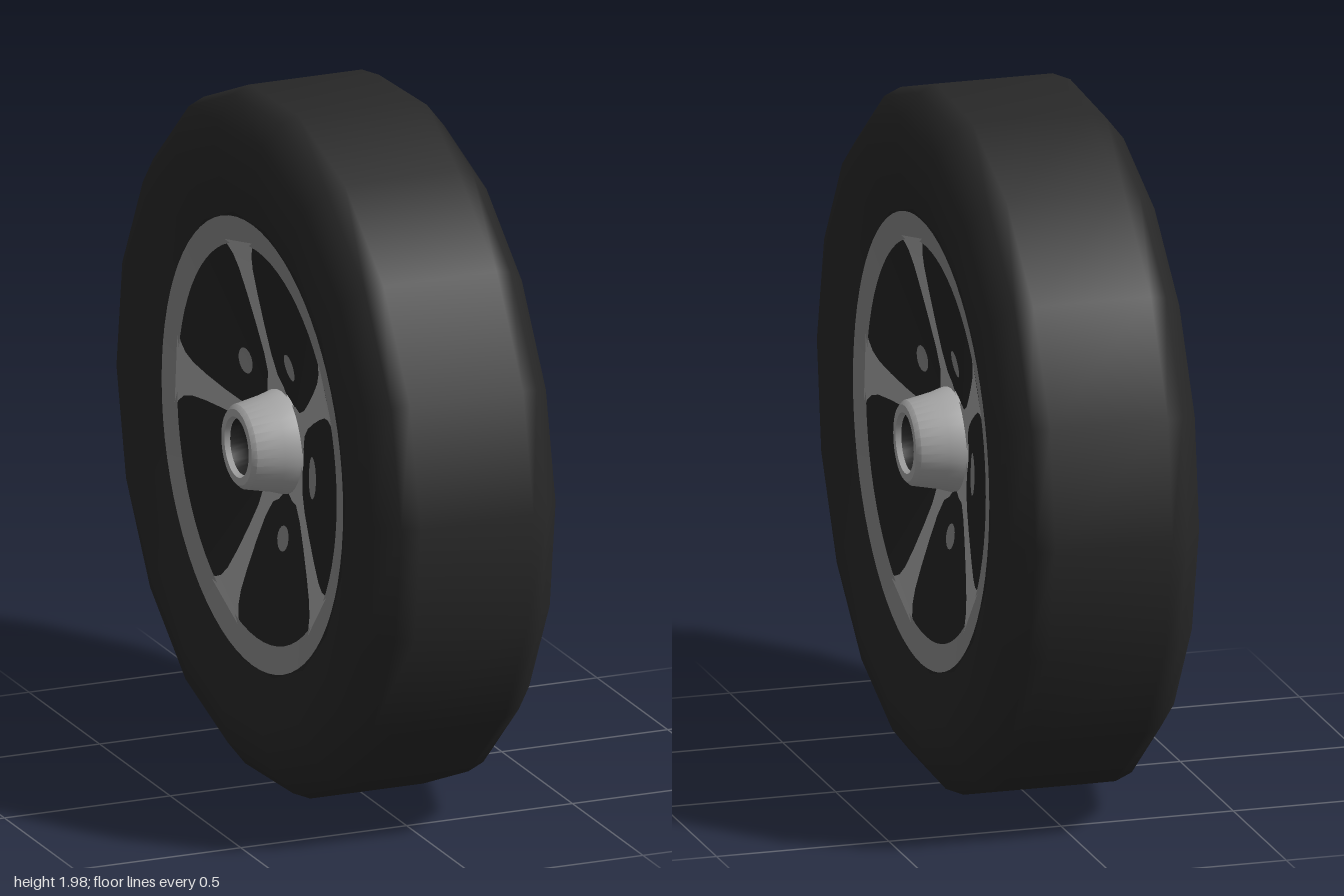
import * as THREE from 'three';
import { toCreasedNormals } from 'three/addons/utils/BufferGeometryUtils.js';

const rad = THREE.MathUtils.degToRad;
const mat = (name, color) => new THREE.MeshStandardMaterial({ name, color });

// depth of the dished wheel face at a given radius
const dish = (r) => 0.134 + 0.176 * r;

function lathe(points, segments, start = 0) {
  return new THREE.LatheGeometry(points.map(([r, h]) => new THREE.Vector2(r, h)), segments, start);
}

// lay a flat geometry facing +z onto the dished face
function drape(geometry, lift) {
  const p = geometry.attributes.position;
  for (let i = 0; i < p.count; i++) p.setZ(i, dish(Math.hypot(p.getX(i), p.getY(i))) + lift);
  geometry.computeVertexNormals();
  return geometry;
}

// flared strip along +x from [radius, half width] rows
function spokeGeometry() {
  const rows = [[0.12, 0.075], [0.16, 0.058], [0.19, 0.034], [0.25, 0.026], [0.33, 0.03],
    [0.42, 0.039], [0.49, 0.05], [0.53, 0.066], [0.555, 0.09], [0.57, 0.13]];
  const position = [], index = [];
  rows.forEach(([r, w], i) => {
    position.push(r, -w, 0, r, w, 0);
    const a = 2 * i;
    if (i) index.push(a - 2, a, a + 1, a - 2, a + 1, a - 1);
  });
  const g = new THREE.BufferGeometry();
  g.setAttribute('position', new THREE.Float32BufferAttribute(position, 3));
  g.setIndex(index);
  return drape(g, 0.004);
}

export function createModel() {
  const rubber = mat('black rubber', 0x282828);
  const dark = mat('dark opening', 0x242424);
  const rimGrey = mat('rim grey', 0x8a8a8a);
  const metal = mat('spoke metal', 0xa8a8a8);

  const model = new THREE.Group();
  model.name = 'wheel';
  const axle = new THREE.Group();
  axle.name = 'wheelAssembly';
  axle.position.y = 0.9924;
  model.add(axle);

  const add = (parent, name, geometry, material) => {
    const m = new THREE.Mesh(geometry, material);
    m.name = name;
    parent.add(m);
    return m;
  };

  // eighteen-sided tyre, mirrored profile
  const half = [[1.001, 0.17], [0.98, 0.22], [0.91, 0.275], [0.807, 0.297], [0.655, 0.2495]];
  const profile = [...half.map(([r, h]) => [r, -h]).reverse(), ...half];
  add(axle, 'tyre', lathe(profile, 18, rad(-82.5)).rotateZ(-Math.PI / 2), rubber);

  // both wheel faces, each built facing +z and then turned outwards
  for (const [name, turn] of [['leftFace', Math.PI / 2], ['rightFace', -Math.PI / 2]]) {
    const face = new THREE.Group();
    face.name = name;
    face.rotation.y = turn;
    axle.add(face);

    // dark dished disc behind the spokes
    add(face, 'dish', lathe([[0.665, dish(0.665)], [0.4, dish(0.4)], [0.1, dish(0.1)]], 72)
      .rotateX(Math.PI / 2), dark);

    // rim ring
    add(face, 'rimRing', drape(new THREE.RingGeometry(0.565, 0.643, 72, 1), 0.005), rimGrey);

    // five spokes with bolts between them
    for (let k = 0; k < 5; k++) {
      const spoke = add(face, 'spoke', spokeGeometry(), metal);
      spoke.rotation.z = rad(31 + 72 * k);
      const bolt = new THREE.CircleGeometry(1, 16)
        .scale(k ? 0.036 : 0.042, k ? 0.041 : 0.062, 1).translate(0.27, 0, 0);
      add(face, 'bolt', drape(bolt, 0.004), rimGrey).rotation.z = rad(-5 + 72 * k);
    }

    // tapered hub with a bored end
    const hub = lathe([[0.147, 0.14], [0.147, 0.175], [0.136, 0.21], [0.12, 0.288], [0.108, 0.3],
      [0.086, 0.3], [0.08, 0.285]], 32).rotateX(Math.PI / 2);
    add(face, 'hub', toCreasedNormals(hub, 0.6), metal);
    add(face, 'hubBore', lathe([[0.08, 0.285], [0.078, 0.23], [0, 0.23]], 32)
      .rotateX(Math.PI / 2), dark);
    add(face, 'boreMark', new THREE.CircleGeometry(1, 16).scale(0.024, 0.05, 1)
      .translate(0.047, 0.015, 0.235), rimGrey);
  }
  return model;
}
